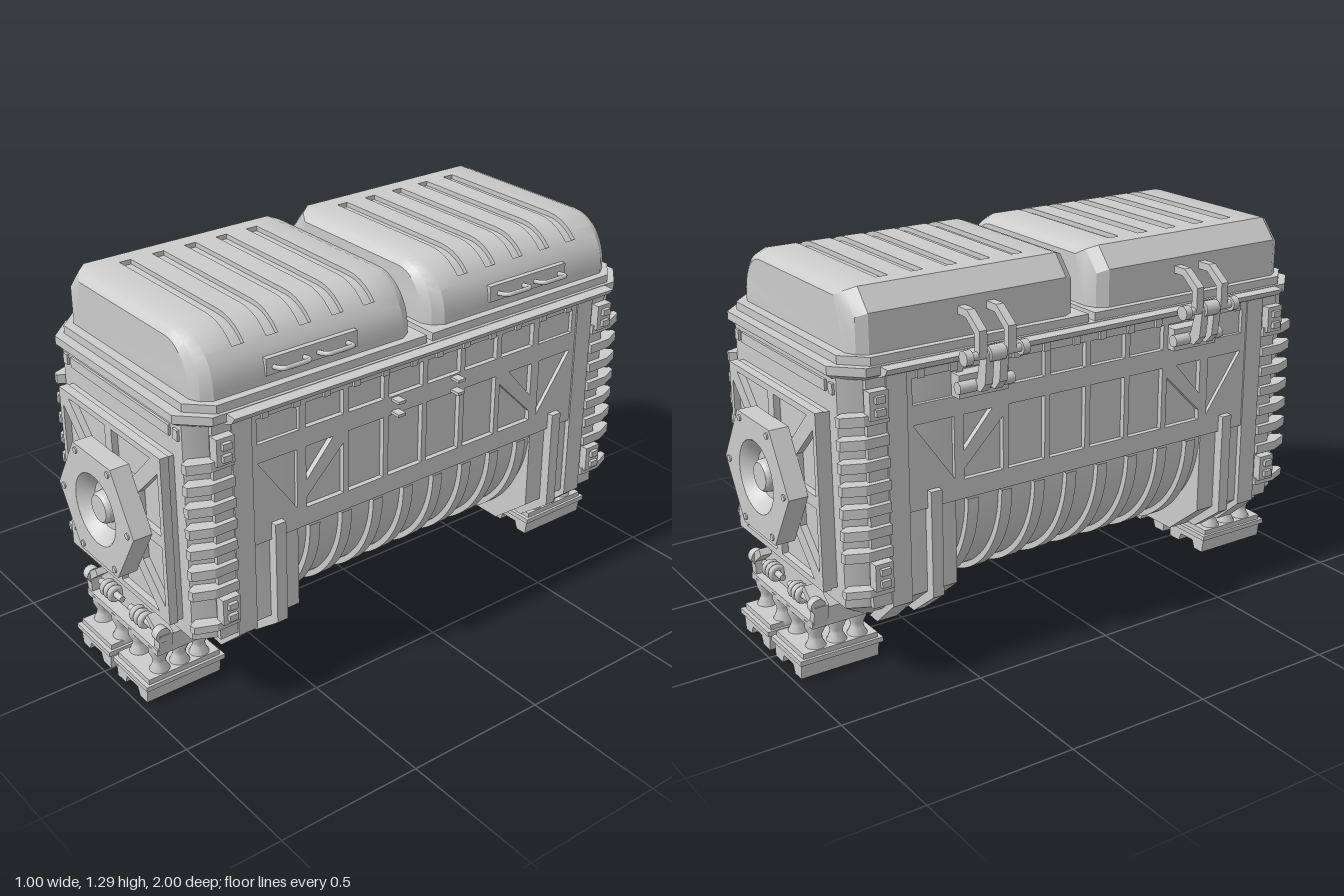
import * as THREE from 'three';
import { toCreasedNormals } from 'three/addons/utils/BufferGeometryUtils.js';

const MAT = new THREE.MeshStandardMaterial({ color: 0xcccccc });

// Ring-to-ring skin with fan caps; winding is corrected from the signed volume.
function loft(rings) {
  const tris = [], n = rings[0].length;
  const tri = (a, b, c) => {
    const [A, B, C] = [a, b, c].map(p => new THREE.Vector3(...p));
    const area = B.clone().sub(A).cross(C.clone().sub(A)).length();
    if (area > 1e-9) tris.push([A, B, C]);
  };
  for (let r = 0; r < rings.length - 1; r++) {
    for (let i = 0; i < n; i++) {
      const j = (i + 1) % n, p = rings[r], q = rings[r + 1];
      tri(p[i], p[j], q[j]);
      tri(p[i], q[j], q[i]);
    }
  }
  const a = rings[0], b = rings[rings.length - 1];
  for (let i = 1; i < n - 1; i++) {
    tri(a[0], a[i + 1], a[i]);
    tri(b[0], b[i], b[i + 1]);
  }
  const vol = tris.reduce((s, [A, B, C]) => s + A.dot(B.clone().cross(C)), 0);
  const pts = tris.flatMap(([A, B, C]) => (vol < 0 ? [A, C, B] : [A, B, C]));
  return toCreasedNormals(new THREE.BufferGeometry().setFromPoints(pts), 0.5);
}

const path = (pts, T = THREE.Shape) => new T(pts.map(p => new THREE.Vector2(...p)));

// Straight extrusion of an outline (with holes) from z = 0 to depth.
function extrude(pts, depth, holes = []) {
  const s = path(pts);
  s.holes = holes.map(h => (Array.isArray(h) ? path(h, THREE.Path) : h));
  return new THREE.ExtrudeGeometry(s, { depth, bevelEnabled: false, curveSegments: 24 });
}
const rect = (x0, y0, x1, y1) => [[x0, y0], [x1, y0], [x1, y1], [x0, y1]];

// Box given by its limits.
const box = (x0, x1, y0, y1, z0, z1) => new THREE.BoxGeometry(x1 - x0, y1 - y0, z1 - z0)
  .translate((x0 + x1) / 2, (y0 + y1) / 2, (z0 + z1) / 2);

// Reflected copy with its winding repaired.
function reflect(geo, sx, sz) {
  const g = geo.index ? geo.toNonIndexed() : geo.clone();
  g.scale(sx, 1, sz);
  if (sx * sz < 0) {
    for (const at of Object.values(g.attributes)) {
      const k = at.itemSize, arr = at.array;
      for (let i = 0; i < arr.length; i += 3 * k) {
        for (let j = 0; j < k; j++) {
          [arr[i + k + j], arr[i + 2 * k + j]] = [arr[i + 2 * k + j], arr[i + k + j]];
        }
      }
    }
  }
  return g;
}

export function createModel() {
  const root = new THREE.Group();
  root.name = 'cargoContainer';
  const put = (name, geo, sym = '') => {
    for (const sx of sym.includes('x') ? [1, -1] : [1]) {
      for (const sz of sym.includes('z') ? [1, -1] : [1]) {
        const m = new THREE.Mesh(reflect(geo, sx, sz), MAT);
        m.name = name;
        root.add(m);
      }
    }
  };

  // Hull: chamfered end blocks, box middle and half-barrel belly
  const plan = (y, hx, hz) => [[-hx, y, 0.5], [hx, y, 0.5], [hx, y, hz - 0.08],
    [hx - 0.04, y, hz], [0.04 - hx, y, hz], [-hx, y, hz - 0.08]];
  put('endBlock', loft([plan(0.165, 0.245, 0.74), plan(0.285, 0.39, 0.88), plan(1.045, 0.39, 0.88)]), 'z');
  put('middleHull', box(-0.385, 0.385, 0.57, 1.045, -0.5, 0.5));
  const barrel = (r, len, z) => new THREE.CylinderGeometry(r, r, len, 40, 1, false, -Math.PI / 2, Math.PI)
    .rotateX(Math.PI / 2).translate(0, 0.57, z);
  put('belly', barrel(0.385, 1, 0));
  for (let i = 0; i < 4; i++) put('bellyRib', barrel(0.405, 0.04, 0.0635 + i * 0.127), 'z');

  // Side wall frame with window and brace cut-outs
  const holes = [];
  for (const s of [1, -1]) {
    const add = pts => holes.push(pts.map(([u, v]) => [u * s, v]));
    for (const [a, b] of [[0.01, 0.15], [0.17, 0.31], [0.33, 0.475], [0.5, 0.655]]) add(rect(a, 0.92, b, 1.005));
    add(rect(0.01, 0.64, 0.15, 0.855));
    add(rect(0.17, 0.64, 0.31, 0.855));
    add([[0.475, 0.855], [0.37, 0.855], [0.475, 0.735]]);
    add([[0.33, 0.82], [0.33, 0.64], [0.475, 0.64], [0.475, 0.675]]);
    add([[0.655, 0.855], [0.51, 0.855], [0.51, 0.65]]);
  }
  put('sideFrame', extrude(rect(-0.675, 0.575, 0.675, 1.03), 0.018, holes)
    .rotateY(Math.PI / 2).translate(0.385, 0, 0), 'x');
  for (let i = 0; i < 6; i++) put('topClip', box(0.39, 0.412, 1.005, 1.035, 0.04 + i * 0.115, 0.065 + i * 0.115), 'xz');
  for (const y of [0.86, 0.905]) put('cornerMark', box(0.39, 0.44, y, y + 0.01, 0.11, 0.14), 'z');

  // Posts that wrap under the lower side chamfer
  const post = (z0, z1, top, out) => extrude([[0.36, top], [out, top], [out, 0.275], [0.3, 0.178],
    [0.25, 0.18], [0.36, 0.285]], z1 - z0).translate(0, 0, z0);
  put('sidePost', post(0.57, 0.61, 0.635, 0.425), 'xz');
  put('sideColumn', post(0.675, 0.745, 1.04, 0.408), 'xz');
  put('cornerColumn', box(0.37, 0.402, 0.285, 1.04, 0.74, 0.81), 'xz');

  // Corner ribs and latches
  const rib = (y, h) => extrude([[0.35, -0.86], [0.372, -0.9], [0.392, -0.897], [0.42, -0.83], [0.42, -0.745],
    [0.37, -0.745]], h).rotateX(-Math.PI / 2).translate(0, y, 0);
  for (let i = 0; i < 7; i++) put('cornerRib', rib(0.455 + i * 0.073, 0.032), 'xz');
  put('cornerShoe', rib(0.335, 0.025), 'xz');
  for (const y of [0.355, 0.91]) {
    put('latch', box(0.395, 0.432, y, y + 0.09, 0.752, 0.815), 'xz');
    for (const dy of [0.025, 0.065]) put('latchStud', box(0.43, 0.445, y + dy - 0.011, y + dy + 0.011, 0.768, 0.8), 'xz');
  }

  // Rim flange and flared side ledges
  const octagon = (y, hx, hz, c) => [[hx, y, hz - c], [hx - c, y, hz], [c - hx, y, hz], [-hx, y, hz - c],
    [-hx, y, c - hz], [c - hx, y, -hz], [hx - c, y, -hz], [hx, y, c - hz]];
  put('rimFlange', loft([octagon(1.03, 0.4, 0.885, 0.07), octagon(1.047, 0.43, 0.907, 0.085), octagon(1.075, 0.43, 0.907, 0.085)]));
  put('sideLedge', extrude([[0.38, 1.035], [0.42, 1.035], [0.455, 1.05], [0.472, 1.072], [0.38, 1.075]], 1.55)
    .translate(0, 0, -0.775), 'x');

  // End wall panels
  put('endTopPanel', box(-0.29, 0.29, 0.98, 1.015, 0.87, 0.888), 'z');
  put('endTopSquare', box(0.312, 0.338, 0.98, 1.015, 0.87, 0.888), 'xz');
  const cut = [];
  for (const sx of [1, -1]) {
    for (const sy of [1, -1]) {
      cut.push([[0.245, 0.272], [0.02, 0.272], [0.02, 0.15], [0.125, 0.15]].map(([x, y]) => [x * sx, y * sy]));
      cut.push([[0.283, 0.235], [0.165, 0.12], [0.165, 0.02], [0.283, 0.02]].map(([x, y]) => [x * sx, y * sy]));
    }
  }
  put('endPlate', box(-0.3, 0.3, 0.338, 0.918, 0.87, 0.908), 'z');
  put('endPlateFrame', extrude(rect(-0.303, -0.293, 0.303, 0.293), 0.03, cut).translate(0, 0.628, 0.9), 'z');

  // Hexagonal hub with dished centre and bolts
  const hex = Array.from({ length: 6 }, (_, i) => [0.23 * Math.cos(i * Math.PI / 3), 0.222 * Math.sin(i * Math.PI / 3)]);
  put('hub', extrude(hex, 0.067, [new THREE.Path().absarc(0, 0, 0.122, 0, Math.PI * 2, true)]).translate(0, 0.63, 0.928), 'z');
  const dish = [[0, -0.012], [0.045, -0.012], [0.052, -0.02], [0.055, -0.045], [0.08, -0.045], [0.1, -0.02], [0.122, 0]];
  put('hubDish', toCreasedNormals(new THREE.LatheGeometry(dish.map(p => new THREE.Vector2(...p)).reverse(), 32), 0.6)
    .rotateX(Math.PI / 2).translate(0, 0.63, 0.995), 'z');
  for (let i = 0; i < 6; i++) {
    const a = i * Math.PI / 3;
    put('hubBolt', new THREE.CylinderGeometry(0.011, 0.011, 0.012, 10).rotateX(Math.PI / 2)
      .translate(0.196 * Math.cos(a), 0.63 + 0.196 * Math.sin(a), 0.994), 'z');
  }

  // Lids: rounded on one side, chamfered on the other, with sunk grooves
  const lidRing = (z, inset, g = 0) => {
    const dx = 0.055 * inset, top = 1.295 - 0.032 * inset;
    const arc = (deg, d) => {
      const a = THREE.MathUtils.degToRad(deg);
      return [0.22 + (0.17 - dx - d) * Math.cos(a), 1.125 + (top - 1.125 - d) * Math.sin(a), z];
    };
    const pts = [[dx - 0.394, 1.1, z], [dx - 0.394, top - 0.068, z], [dx - 0.335, top, z],
      [-0.275, top, z], [-0.275, top - g, z]];
    for (let d = 90; d >= 40; d -= 10) pts.push(arc(d, g));
    for (let d = 40; d >= 0; d -= 10) pts.push(arc(d, 0));
    return [...pts, [0.39 - dx, 1.1, z]];
  };
  const rings = [lidRing(0.033, 1), lidRing(0.05, 0.4), lidRing(0.085, 0)];
  for (let i = 0; i < 5; i++) {
    const a = 0.17 + i * 0.121, b = a + 0.042;
    rings.push(lidRing(a, 0), lidRing(a, 0, 0.016), lidRing(b, 0, 0.016), lidRing(b, 0));
  }
  rings.push(lidRing(0.79, 0), lidRing(0.823, 0.4), lidRing(0.84, 1));
  put('lid', loft(rings), 'z');
  put('lidRim', extrude([[-0.418, -0.012], [0.418, -0.012], [0.418, -0.8], [0.345, -0.873], [-0.345, -0.873], [-0.418, -0.8]], 0.03)
    .rotateX(-Math.PI / 2).translate(0, 1.072, 0), 'z');

  // Lid handles on the rounded side
  put('handlePlate', box(0.37, 0.397, 1.13, 1.185, 0.272, 0.61), 'z');
  for (const z of [0.365, 0.527]) {
    const c = new THREE.CatmullRomCurve3([[0.39, 1.152, -0.055], [0.425, 1.158, -0.053], [0.437, 1.16, -0.04],
      [0.437, 1.16, 0.04], [0.425, 1.158, 0.053], [0.39, 1.152, 0.055]].map(p => new THREE.Vector3(...p)), false, 'catmullrom', 0.2);
    put('handle', new THREE.TubeGeometry(c, 24, 0.008, 8).translate(0, 0, z), 'z');
  }

  // Hinges on the chamfered side
  const upper = [[-0.38, 1.2], [-0.445, 1.2], [-0.513, 1.15], [-0.513, 1.07], [-0.487, 1.07], [-0.487, 1.135], [-0.437, 1.175], [-0.38, 1.175]];
  const lower = [[-0.512, 1.07], [-0.502, 0.975], [-0.475, 0.945], [-0.41, 0.945], [-0.41, 0.972], [-0.455, 0.978], [-0.48, 1.07]];
  for (const dz of [-0.052, 0.052]) {
    put('hingeArm', extrude(upper, 0.028).translate(0, 0, 0.406 + dz), 'z');
    put('hingeStrap', extrude(lower, 0.028).translate(0, 0, 0.406 + dz * 0.5), 'z');
    put('hingeKnob', new THREE.CylinderGeometry(0.024, 0.024, 0.025, 16).rotateX(Math.PI / 2).translate(-0.497, 1.07, 0.42 + dz * 1.95), 'z');
  }
  put('hingePin', new THREE.CylinderGeometry(0.014, 0.014, 0.21, 12).rotateX(Math.PI / 2).translate(-0.497, 1.07, 0.42), 'z');
  put('hingeBarrel', new THREE.CylinderGeometry(0.026, 0.026, 0.055, 16).rotateX(Math.PI / 2).translate(-0.497, 1.07, 0.42), 'z');
  put('hingeBracket', box(-0.435, -0.385, 0.92, 0.995, 0.33, 0.51), 'z');
  put('hingeBracketPin', new THREE.CylinderGeometry(0.02, 0.02, 0.2, 12).rotateX(Math.PI / 2).translate(-0.44, 0.958, 0.42), 'z');

  // Undercarriage: bracket, springs, spool legs and notched feet
  put('legBracket', extrude([[-0.222, 0.18], [0.222, 0.18], [0.222, 0.235], [0.16, 0.295], [-0.16, 0.295], [-0.222, 0.235]], 0.1)
    .translate(0, 0, 0.79), 'z');
  put('legShelf', box(-0.222, 0.222, 0.172, 0.195, 0.7, 0.935), 'z');
  put('bracketArm', extrude([[0.222, 0.18], [0.235, 0.25], [0.165, 0.3], [0.15, 0.28], [0.2, 0.24], [0.195, 0.18]], 0.05)
    .translate(0, 0, 0.88), 'xz');
  put('bracketPivot', new THREE.CylinderGeometry(0.026, 0.026, 0.03, 14).rotateZ(Math.PI / 2).translate(0.218, 0.25, 0.915), 'xz');
  put('springRod', new THREE.CylinderGeometry(0.011, 0.011, 0.14, 10).rotateZ(Math.PI / 2).translate(0.095, 0.246, 0.912), 'xz');
  for (const dx of [-0.024, 0, 0.024]) {
    put('springCoil', new THREE.TorusGeometry(0.02, 0.011, 8, 18).rotateY(Math.PI / 2).translate(0.095 + dx, 0.246, 0.912), 'xz');
  }
  const spool = [[0, 0.075], [0.034, 0.075], [0.034, 0.09], [0.022, 0.115], [0.022, 0.13], [0.033, 0.155], [0.033, 0.185], [0, 0.185]];
  for (const x of [0.053, 0.178]) {
    for (const z of [0.755, 0.83, 0.905]) {
      put('legSpool', toCreasedNormals(new THREE.LatheGeometry(spool.map(p => new THREE.Vector2(...p)), 16), 0.6).translate(x, 0, z), 'xz');
    }
  }
  put('footRim', box(0.012, 0.225, 0.055, 0.072, 0.685, 0.983), 'xz');
  put('footTop', box(0.022, 0.215, 0.07, 0.09, 0.7, 0.968), 'xz');
  put('foot', extrude([[0.018, 0.058], [0.022, 0], [0.072, 0], [0.084, 0.03], [0.15, 0.03], [0.162, 0], [0.206, 0], [0.214, 0.058]], 0.28)
    .translate(0, 0, 0.695), 'xz');

  root.position.x = 0.022;
  const model = new THREE.Group();
  model.add(root);
  return model;
}
